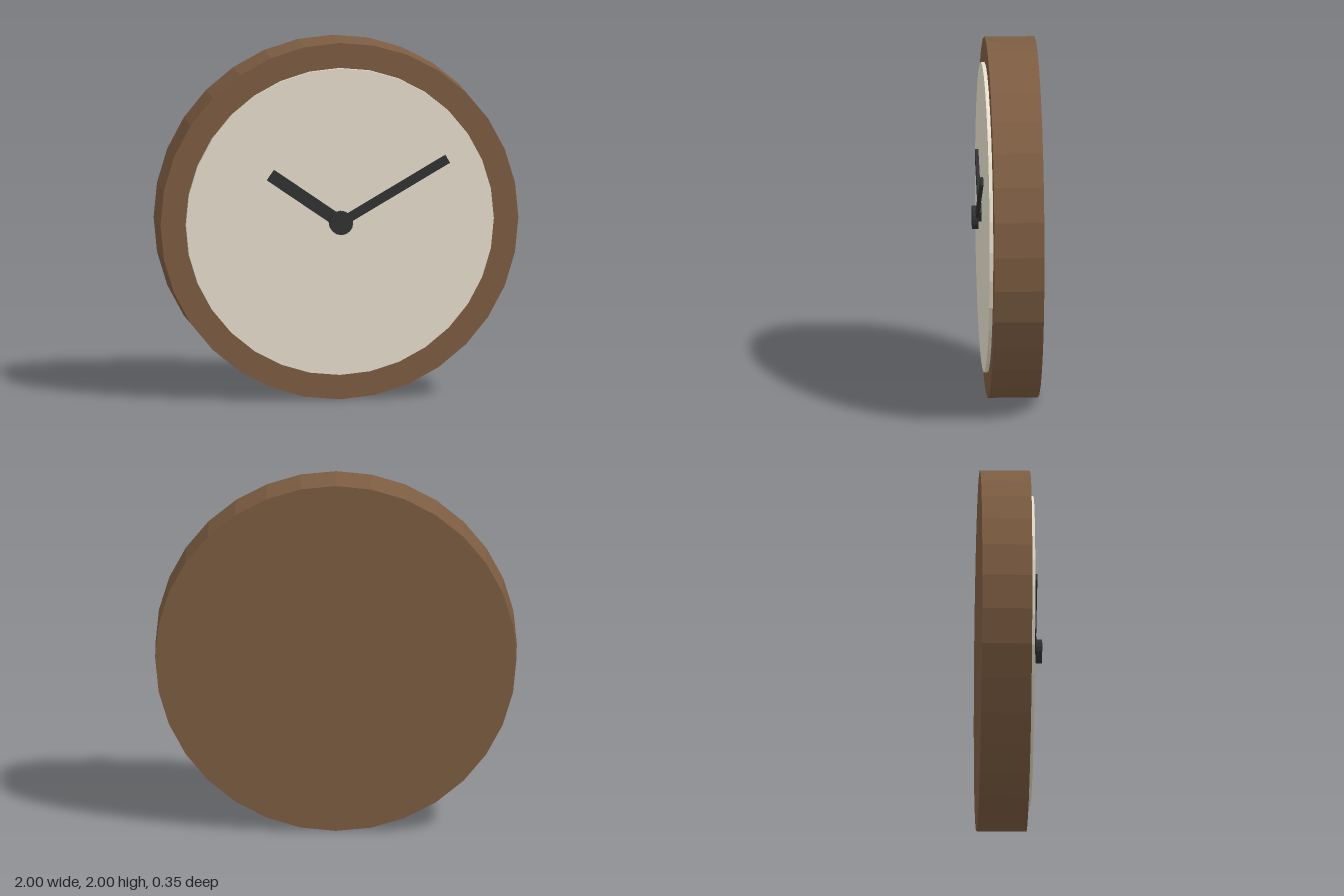
import * as THREE from 'three';

const mat = (name, color) => {
  const m = new THREE.MeshStandardMaterial({ color });
  m.name = name;
  m.flatShading = true;
  return m;
};

export function createModel() {
  const clock = new THREE.Group();
  clock.name = 'wallClock';
  const wood = mat('brown wood', 0x7d5d42);
  const cream = mat('cream dial', 0xeee6d3);
  const dark = mat('dark hands', 0x323232);

  // disc facing +z, between two depths
  const disc = (name, radius, back, front, sides, material) => {
    const geo = new THREE.CylinderGeometry(radius, radius, front - back, sides);
    geo.rotateX(Math.PI / 2);
    const mesh = new THREE.Mesh(geo, material);
    mesh.name = name;
    mesh.position.set(0, 1, (back + front) / 2);
    clock.add(mesh);
  };

  // flat bar that starts at the dial centre and points along an angle
  const hand = (name, length, width, degrees, back, front) => {
    const geo = new THREE.BoxGeometry(length, width, front - back);
    geo.translate(length / 2, 0, 0);
    const mesh = new THREE.Mesh(geo, dark);
    mesh.name = name;
    mesh.position.set(0, 1, (back + front) / 2);
    mesh.rotation.z = THREE.MathUtils.degToRad(degrees);
    clock.add(mesh);
  };

  disc('case', 1, -0.177, 0.1, 32, wood);
  disc('dial', 0.86, 0.09, 0.12, 32, cream);
  hand('hourHand', 0.475, 0.07, 145, 0.124, 0.142);
  hand('minuteHand', 0.69, 0.05, 30, 0.143, 0.159);
  disc('hub', 0.066, 0.143, 0.177, 16, dark);

  return clock;
}
